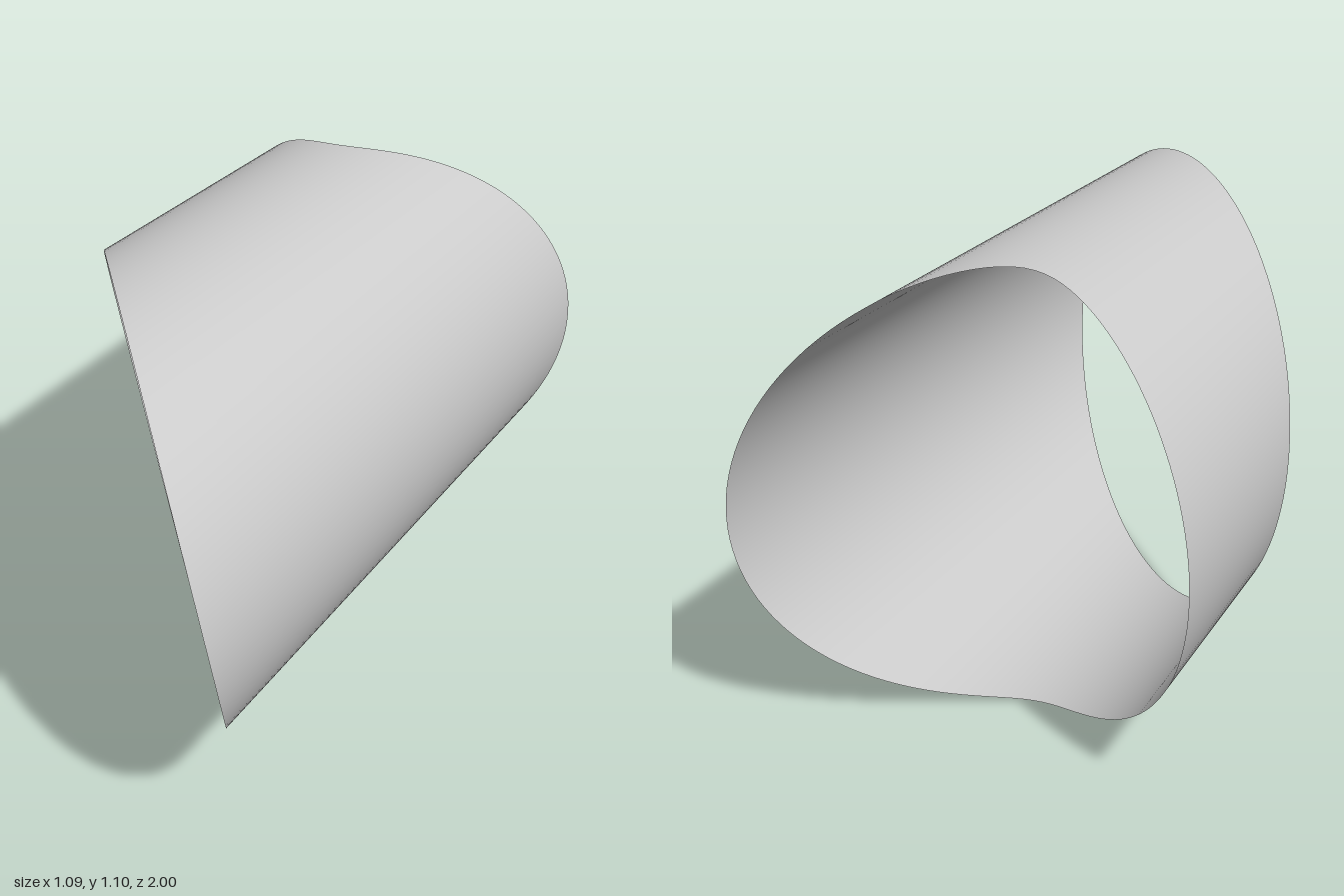
import * as THREE from 'three';

// Front end: a slanted plane cut. x and y are measured from the tube axis.
const frontCut = (x, y) => 0.35 + 1.15 * x + 0.3 * y;

// Back end: a saddle notch, a V with a rounded root.
const backCut = (x) => -0.625 - (Math.hypot(0.81 * (x + 0.03), 0.1) - 0.1);

export function createModel() {
  const group = new THREE.Group();
  group.name = 'pipeSection';

  // Open tube along z; each lengthwise line is stretched between the two cuts.
  const r = 0.545;
  const geometry = new THREE.CylinderGeometry(r, r, 1, 128, 8, true);
  geometry.rotateX(Math.PI / 2);
  const pos = geometry.attributes.position;
  for (let i = 0; i < pos.count; i++) {
    const x = pos.getX(i);
    const y = pos.getY(i);
    const z = THREE.MathUtils.lerp(backCut(x), frontCut(x, y), pos.getZ(i) + 0.5);
    // The section drifts slightly: narrower and taller toward the front.
    const right = 0.533 - 0.0075 * z;
    const halfWidth = (right + r) / 2;
    const halfHeight = 0.55 + 0.006 * z;
    pos.setXYZ(i, (right - r) / 2 + (x / r) * halfWidth, 0.551 + (y / r) * halfHeight, z);
  }

  const material = new THREE.MeshStandardMaterial({ color: 0xcccccc, side: THREE.DoubleSide });
  const wall = new THREE.Mesh(geometry, material);
  wall.name = 'pipeWall';
  group.add(wall);
  return group;
}
